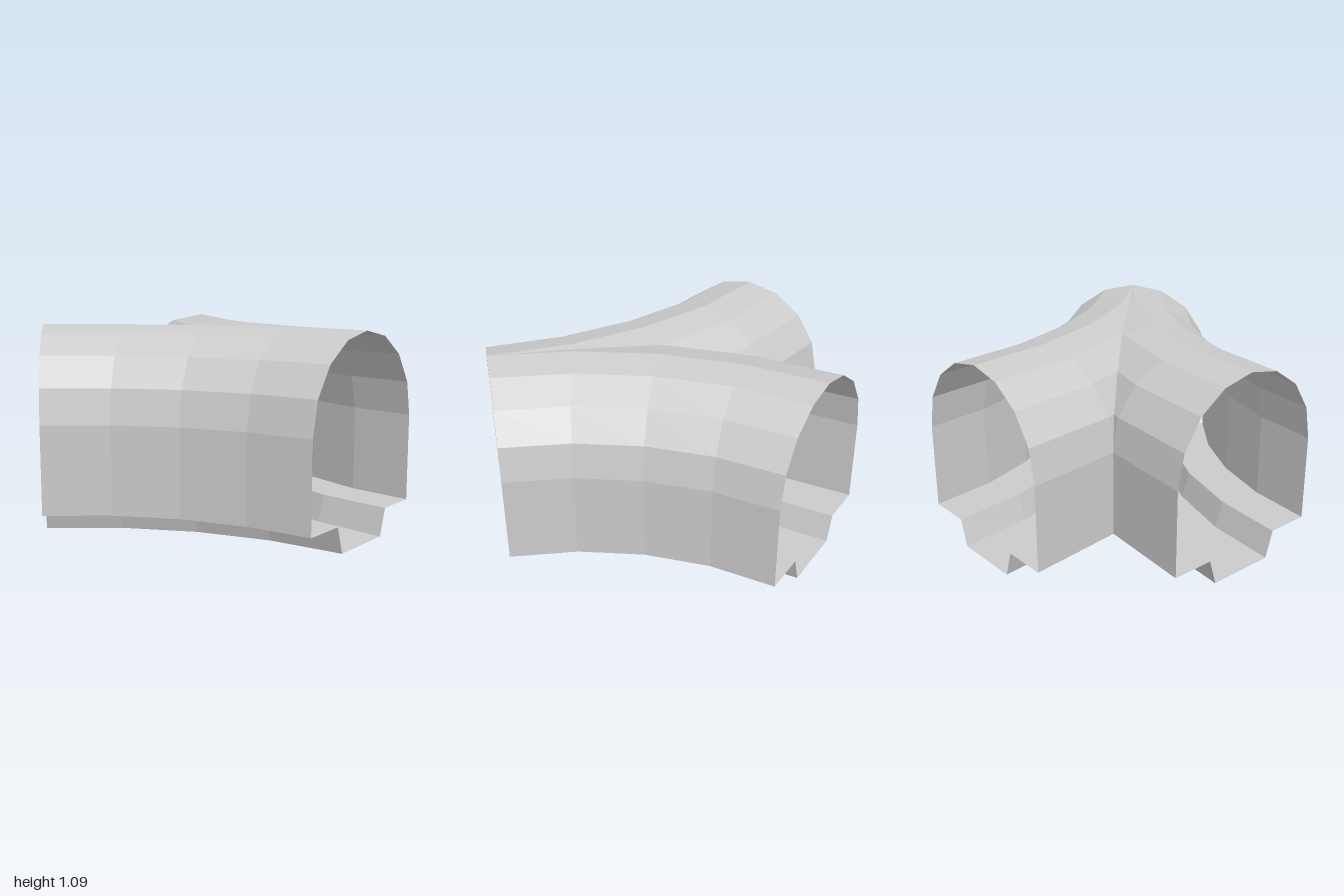
import * as THREE from 'three';

const RADIUS = 2.28;      // bend radius of each branch
const FRONT = 0.97;       // z of the shared front opening
const SWEEP = Math.PI / 4;
const STEPS = 4;

// Point of a branch: s across the tunnel, y up, at an angle along the bend
function branchPoint([s, y], angle) {
  const r = RADIUS - s;
  return new THREE.Vector3(RADIUS - r * Math.cos(angle), y, FRONT - r * Math.sin(angle));
}

// Keep only the part of a polygon with x >= 0, so both branches meet in a seam
function clipAtSeam(polygon) {
  const kept = [];
  polygon.forEach((p, i) => {
    const q = polygon[(i + 1) % polygon.length];
    if (p.x >= 0) kept.push(p);
    if ((p.x > 0 && q.x < 0) || (p.x < 0 && q.x > 0)) {
      const cut = p.clone().lerp(q, p.x / (p.x - q.x));
      cut.x = 0;
      kept.push(cut);
    }
  });
  return kept;
}

// Sweep an open profile along the bend and trim it at the seam
function sweepBranch(profile) {
  const positions = [];
  for (let i = 0; i < STEPS; i++) {
    const a0 = (i / STEPS) * SWEEP;
    const a1 = ((i + 1) / STEPS) * SWEEP;
    for (let j = 0; j < profile.length - 1; j++) {
      const face = clipAtSeam([
        branchPoint(profile[j], a0), branchPoint(profile[j + 1], a0),
        branchPoint(profile[j + 1], a1), branchPoint(profile[j], a1),
      ]);
      for (let k = 1; k < face.length - 1; k++) {
        for (const p of [face[0], face[k], face[k + 1]]) positions.push(p.x, p.y, p.z);
      }
    }
  }
  const geometry = new THREE.BufferGeometry();
  geometry.setAttribute('position', new THREE.Float32BufferAttribute(positions, 3));
  geometry.computeVertexNormals();
  return geometry;
}

export function createModel() {
  const group = new THREE.Group();
  group.name = 'forkedTunnel';
  const material = new THREE.MeshStandardMaterial({
    color: 0xcccccc, flatShading: true, side: THREE.DoubleSide,
  });

  // Straight walls with a half-round vault of eight facets
  const vault = [[-0.472, 0.145]];
  for (let i = 0; i <= 8; i++) {
    const a = Math.PI * (1 - i / 8);
    vault.push([0.472 * Math.cos(a), 0.612 + 0.475 * Math.sin(a)]);
  }
  vault.push([0.472, 0.145]);

  // Ledges on both sides of a sunken channel
  const floor = [
    [-0.472, 0.145], [-0.235, 0.145], [-0.19, 0],
    [0.19, 0], [0.235, 0.145], [0.472, 0.145],
  ];

  const parts = { TunnelVault: sweepBranch(vault), ChannelFloor: sweepBranch(floor) };
  for (const [side, mirror] of [['left', 1], ['right', -1]]) {
    for (const [name, geometry] of Object.entries(parts)) {
      const mesh = new THREE.Mesh(geometry, material);
      mesh.name = side + name;
      mesh.scale.x = mirror;
      group.add(mesh);
    }
  }
  return group;
}
